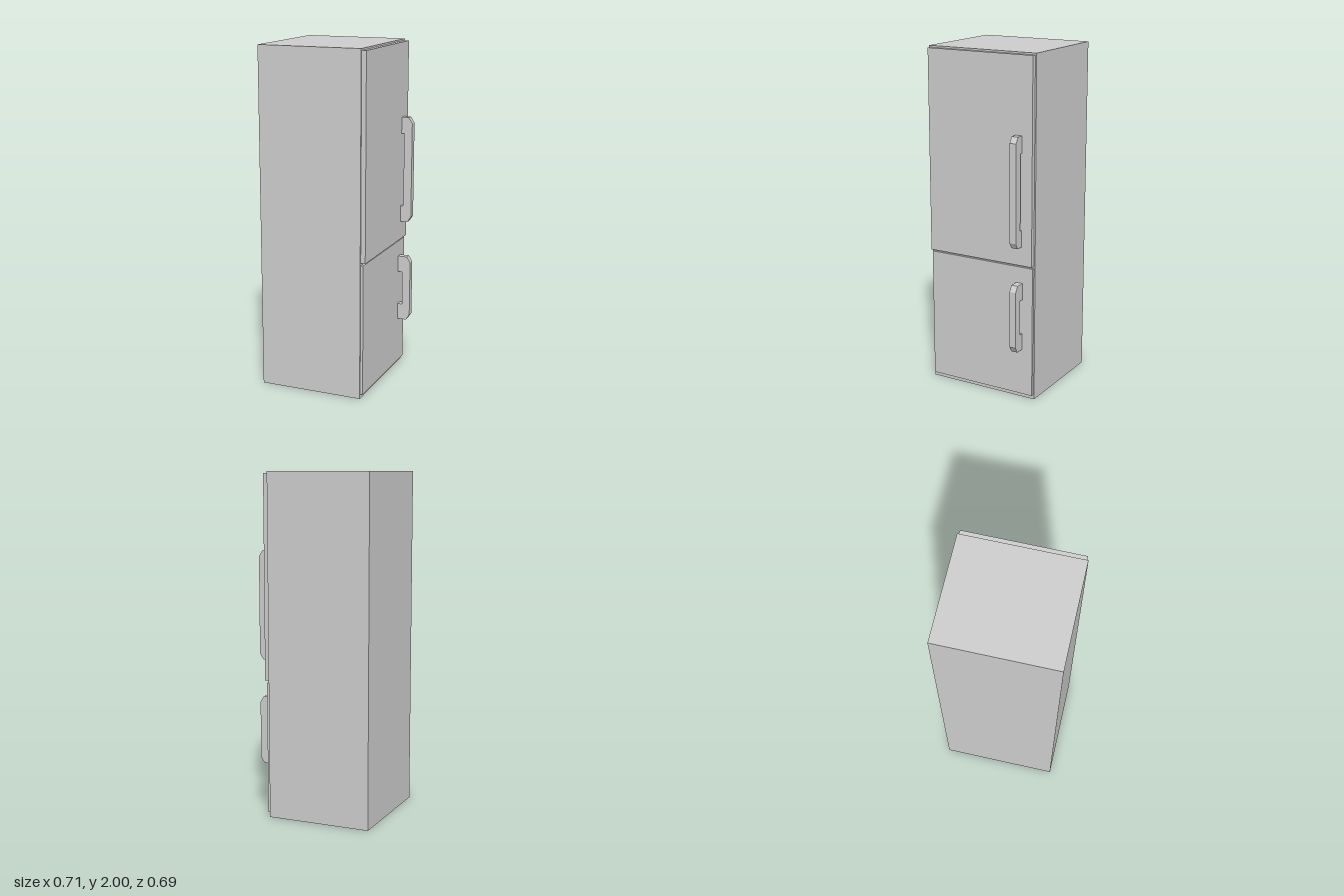
import * as THREE from 'three';

const material = new THREE.MeshStandardMaterial({ color: 0xcccccc, flatShading: true });

// Box given by its lower and upper corners
function box(name, [x0, y0, z0], [x1, y1, z1]) {
  const mesh = new THREE.Mesh(new THREE.BoxGeometry(x1 - x0, y1 - y0, z1 - z0), material);
  mesh.position.set((x0 + x1) / 2, (y0 + y1) / 2, (z0 + z1) / 2);
  mesh.name = name;
  return mesh;
}

// C-shaped grip with chamfered outer corners, extruded along z
function handle(name, back, bottom, top) {
  const grip = 0.305, outer = 0.354, corner = 0.332, chamfer = 0.034, foot = 0.097;
  const shape = new THREE.Shape([
    [back, bottom], [corner, bottom], [outer, bottom + chamfer],
    [outer, top - chamfer], [corner, top], [back, top],
    [back, top - foot], [grip, top - foot], [grip, bottom + foot], [back, bottom + foot],
  ].map(([x, y]) => new THREE.Vector2(x, y)));
  const geometry = new THREE.ExtrudeGeometry(shape, { depth: 0.04, bevelEnabled: false });
  const mesh = new THREE.Mesh(geometry, material);
  mesh.position.z = -0.272;
  mesh.name = name;
  return mesh;
}

export function createModel() {
  const model = new THREE.Group();
  model.name = 'refrigerator';
  model.add(
    box('cabinet', [-0.355, 0, -0.344], [0.262, 2, 0.344]),
    // Doors on the +x side, the upper one slightly thicker
    box('upperDoor', [0.262, 0.81, -0.336], [0.289, 1.99, 0.336]),
    box('lowerDoor', [0.262, 0.025, -0.336], [0.277, 0.797, 0.336]),
    handle('upperHandle', 0.266, 0.92, 1.552),
    handle('lowerHandle', 0.266, 0.302, 0.702),
  );
  return model;
}
